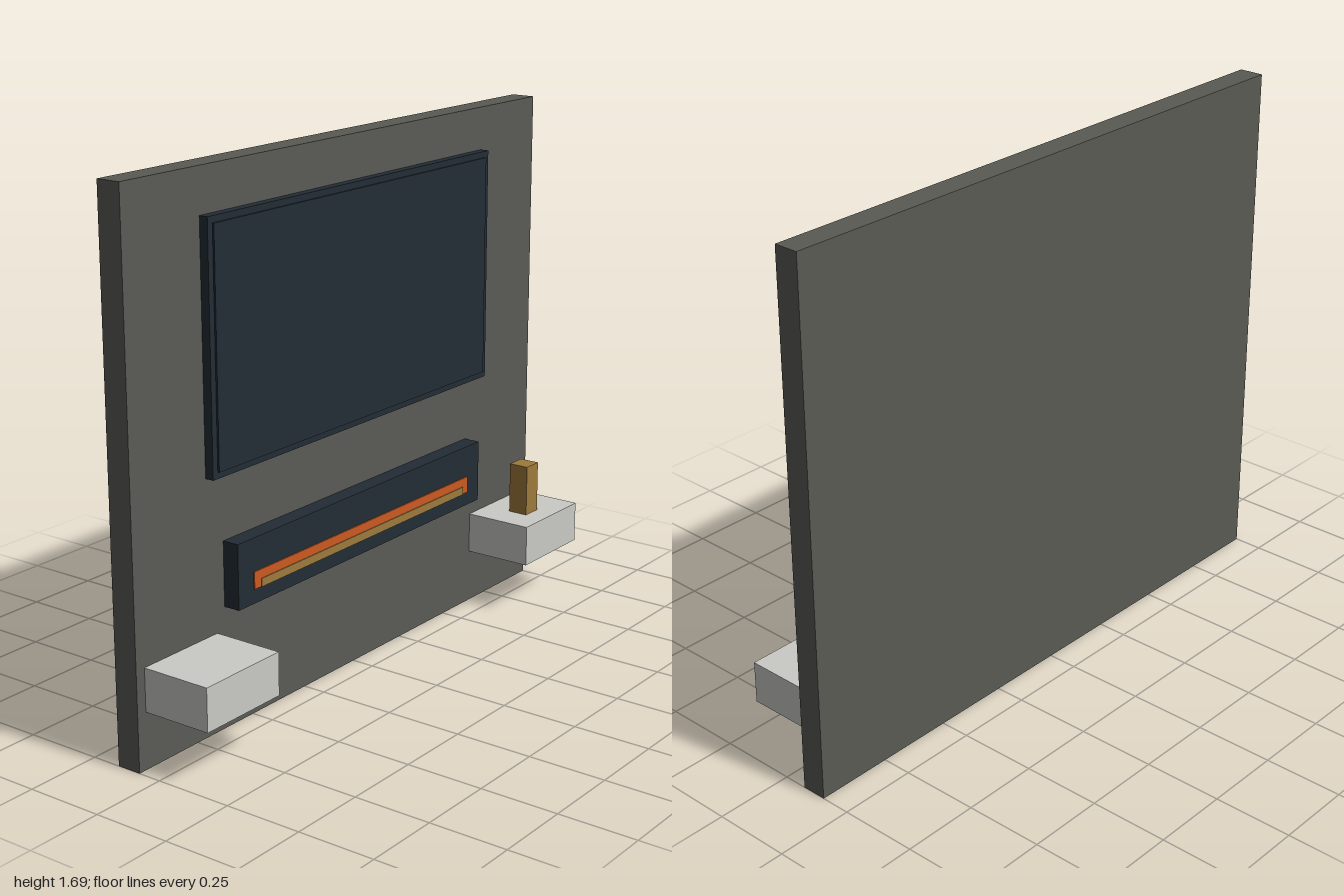
import * as THREE from 'three';

const material = (name, color) => {
  const m = new THREE.MeshStandardMaterial({ color });
  m.name = name;
  return m;
};

export function createModel() {
  const group = new THREE.Group();
  const wallGrey = material('wall grey', 0x5a5a55);
  const darkGlass = material('dark slate', 0x232d36);
  const shelfWhite = material('shelf off-white', 0xcacac6);
  const ember = material('ember orange', 0xcc5a22);
  const brass = material('brass', 0x9c7a3c);
  const glow = material('pale blue light', 0x9fb2cc);

  // Box given by its [min, max] extents on each axis
  const box = (name, mat, [x0, x1], [y0, y1], [z0, z1]) => {
    const mesh = new THREE.Mesh(new THREE.BoxGeometry(x1 - x0, y1 - y0, z1 - z0), mat);
    mesh.position.set((x0 + x1) / 2, (y0 + y1) / 2, (z0 + z1) / 2);
    mesh.name = name;
    group.add(mesh);
  };

  // Wall panel
  const wallFront = -0.075;
  box('wall', wallGrey, [-1, 1], [0, 1.69], [-0.155, wallFront]);

  // Television with a slightly raised screen
  box('televisionBody', darkGlass, [-0.69, 0.69], [0.795, 1.552], [wallFront, -0.046]);
  box('televisionScreen', darkGlass, [-0.67, 0.67], [0.815, 1.532], [-0.046, -0.04]);

  // Fireplace with ember strip and brass bed in front of it
  box('fireplaceBody', darkGlass, [-0.62, 0.62], [0.384, 0.588], [wallFront, -0.02]);
  box('emberStrip', ember, [-0.552, 0.552], [0.43, 0.484], [-0.02, -0.016]);
  box('emberBed', brass, [-0.522, 0.522], [0.43, 0.456], [-0.016, -0.013]);

  // Floating shelves with a light panel beneath each
  for (const side of [-1, 1]) {
    const span = (a, b) => (side > 0 ? [a, b] : [-b, -a]);
    const label = side > 0 ? 'left' : 'right';
    box(label + 'Shelf', shelfWhite, span(0.654, 0.966), [0.177, 0.312], [wallFront, 0.155]);
    box(label + 'ShelfLight', glow, span(0.67, 0.95), [0.17, 0.177], [-0.06, 0.142]);
  }

  // Ornament on the left shelf
  box('ornament', brass, [0.758, 0.826], [0.312, 0.482], [0.018, 0.086]);

  return group;
}
